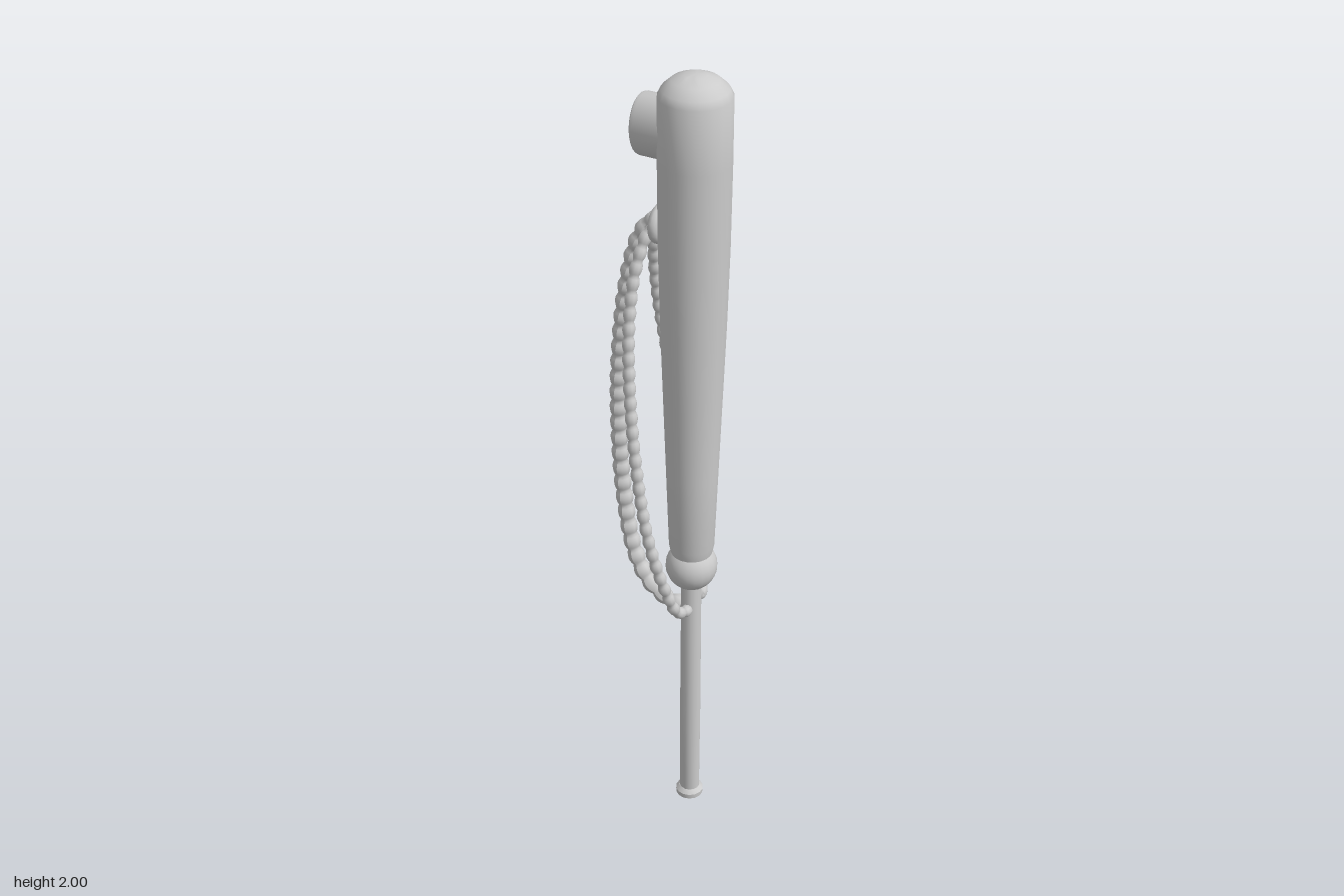
import * as THREE from 'three';
import { toCreasedNormals } from 'three/addons/utils/BufferGeometryUtils.js';

const AXIS_X = 0.066, AXIS_Z = -0.021;
const grey = new THREE.MeshStandardMaterial({ color: 0xcccccc });

function part(name, geometry) {
  const mesh = new THREE.Mesh(geometry, grey);
  mesh.name = name;
  return mesh;
}

// Turned part from [radius, height] pairs, listed bottom to top
function turned(name, profile, sides) {
  const points = profile.map(([r, y]) => new THREE.Vector2(r, y));
  return part(name, toCreasedNormals(new THREE.LatheGeometry(points, sides), 0.6));
}

// Corded tube whose radius swells and shrinks along its length
function beadedCord(name, path, radius, spacing) {
  const curve = new THREE.CatmullRomCurve3(path.map((p) => new THREE.Vector3(...p)));
  const beads = Math.round(curve.getLength() / spacing);
  const steps = beads * 6, sides = 10;
  const geometry = new THREE.TubeGeometry(curve, steps, radius, sides);
  const pos = geometry.attributes.position;
  const v = new THREE.Vector3();
  for (let i = 0; i <= steps; i++) {
    const centre = curve.getPointAt(i / steps);
    const swell = 0.74 + 0.3 * Math.abs(Math.sin((Math.PI * i) / 6));
    for (let j = 0; j <= sides; j++) {
      const k = i * (sides + 1) + j;
      v.fromBufferAttribute(pos, k).sub(centre).multiplyScalar(swell).add(centre);
      pos.setXYZ(k, v.x, v.y, v.z);
    }
  }
  geometry.computeVertexNormals();
  const cord = part(name, geometry);
  // Rounded ends
  for (const t of [0, 1]) {
    const end = part('cordEnd', new THREE.SphereGeometry(radius * 0.9, 10, 8));
    end.position.copy(curve.getPointAt(t));
    cord.add(end);
  }
  return cord;
}

export function createModel() {
  const model = new THREE.Group();
  model.name = 'handle';

  // Everything that shares the main axis
  const shaft = new THREE.Group();
  shaft.name = 'shaft';
  shaft.position.set(AXIS_X, 0, AXIS_Z);
  model.add(shaft);

  shaft.add(turned('grip', [
    [0, 0.775], [0.05, 0.775], [0.055, 0.8], [0.062, 1.0], [0.069, 1.2], [0.076, 1.4],
    [0.081, 1.6], [0.083, 1.8], [0.083, 1.95], [0.075, 1.967], [0.053, 1.987], [0.025, 1.998], [0, 2],
  ], 20));

  const ball = part('ballJoint', new THREE.SphereGeometry(0.063, 20, 14));
  ball.position.y = 0.735;
  shaft.add(ball);

  shaft.add(turned('rod', [[0, 0.02], [0.025, 0.02], [0.026, 0.3], [0.025, 0.7], [0, 0.7]], 14));
  shaft.add(turned('foot', [
    [0, 0], [0.02, 0.003], [0.034, 0.013], [0.035, 0.026], [0.026, 0.036], [0, 0.036],
  ], 14));

  // Oval hollow knob on the side of the grip
  const knob = turned('sideKnob', [
    [0.073, -0.05], [0.073, 0.058], [0.07, 0.067], [0.064, 0.071],
    [0.053, 0.07], [0.05, 0.06], [0.048, 0.03], [0, 0.03],
  ], 24);
  knob.rotation.z = Math.PI / 2;
  knob.scale.z = 0.76;
  knob.position.set(0, 1.86, -0.023);
  model.add(knob);

  // Eyelet that holds the cords
  const eyelet = part('eyelet', new THREE.TorusGeometry(0.034, 0.014, 10, 20));
  eyelet.rotation.y = Math.PI / 2;
  eyelet.position.set(-0.018, 1.632, AXIS_Z);
  model.add(eyelet);

  // Outer cord hangs to the side
  model.add(beadedCord('outerCord', [
    [-0.01, 1.635, -0.021], [-0.035, 1.635, -0.021], [-0.07, 1.59, -0.022], [-0.106, 1.46, -0.023],
    [-0.128, 1.28, -0.024], [-0.133, 1.1, -0.023], [-0.12, 0.88, -0.022], [-0.09, 0.72, -0.021],
    [-0.05, 0.645, -0.021], [0, 0.612, -0.021], [0.05, 0.607, -0.021],
  ], 0.021, 0.042));

  // Thinner cords wrap around the front and the back of the grip
  const wrap = [
    [-0.012, 1.625, 0], [-0.035, 1.62, 0.01], [-0.054, 1.54, 0.045], [-0.057, 1.42, 0.075],
    [-0.045, 1.28, 0.1], [-0.018, 1.08, 0.123], [0.018, 0.88, 0.131], [0.052, 0.73, 0.112],
    [0.068, 0.645, 0.08],
  ];
  const tails = {
    frontCord: [1, [[0.072, 0.625, 0.05], [0.068, 0.612, 0.018]]],
    backCord: [-1, [[0.072, 0.622, 0.045], [0.068, 0.655, 0.018]]],
  };
  for (const [name, [side, tail]] of Object.entries(tails)) {
    const spread = side > 0 ? 1 : 0.72;
    const path = [...wrap, ...tail].map(([x, y, z]) => [x, y, AXIS_Z + side * z * spread]);
    model.add(beadedCord(name, path, 0.0145, 0.036));
  }

  return model;
}
